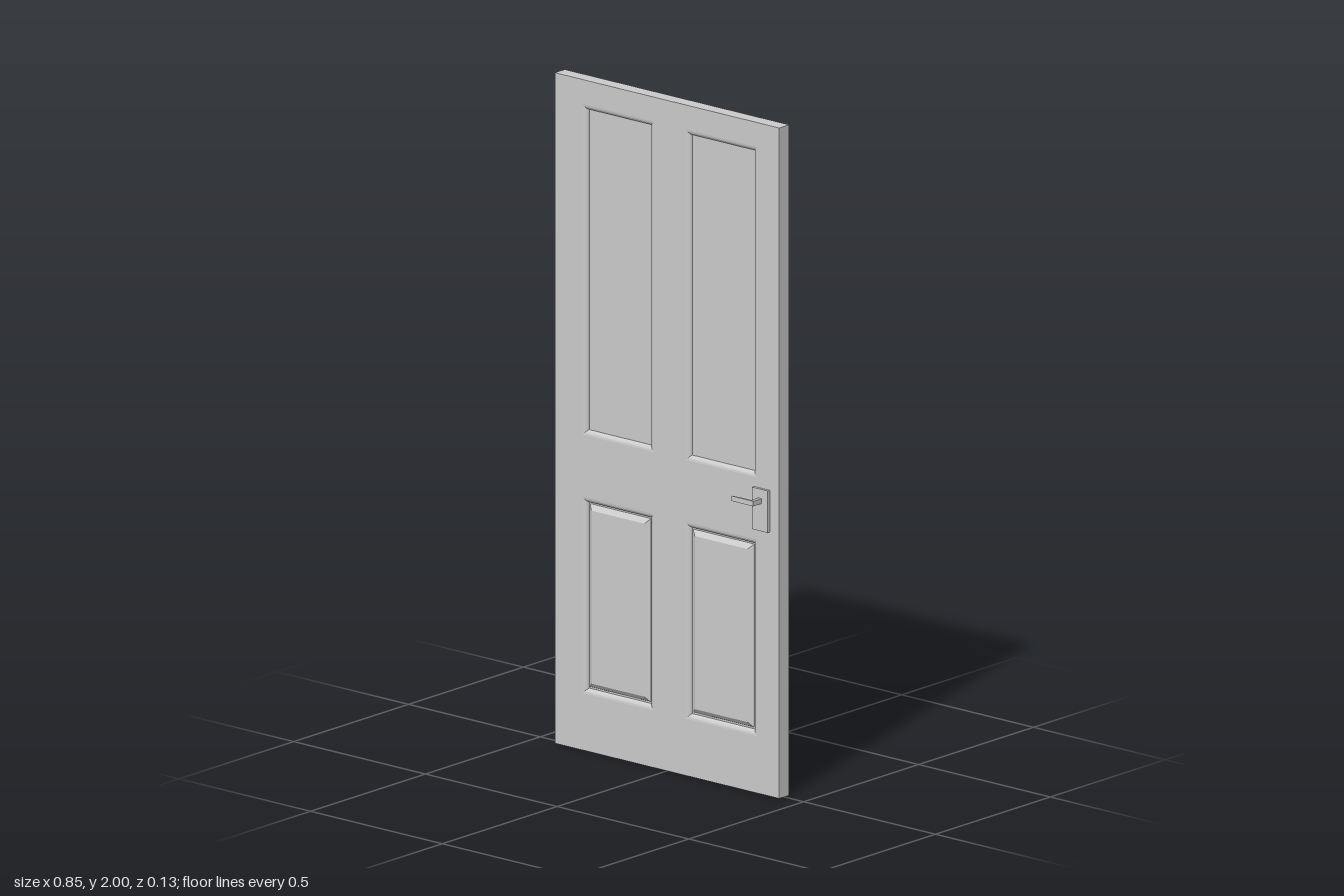
import * as THREE from 'three';

const material = new THREE.MeshStandardMaterial({ color: 0xcccccc });
const W = 0.852, H = 2, FACE = 0.0217; // door width, height, half thickness

function addMesh(parent, name, geometry) {
  const mesh = new THREE.Mesh(geometry, material);
  mesh.name = name;
  parent.add(mesh);
  return mesh;
}

// Moulding profiles: [inset from the opening's edge, depth relative to the door face]
const ovolo = [[0, 0], [0.006, -0.001], [0.011, -0.004], [0.014, -0.008], [0.015, -0.012]];
const raised = [...ovolo, [0.02, -0.012], [0.022, -0.008], [0.035, 0.001]];

// Mitred rectangular rings stepping inwards, closed by a flat field
function panelGeometry(w, h, profile) {
  const rings = profile.map(([inset, z]) => {
    const x = w / 2 - inset, y = h / 2 - inset;
    return [[-x, -y, z], [x, -y, z], [x, y, z], [-x, y, z]];
  });
  const pos = [];
  const quad = (a, b, c, d) => pos.push(...a, ...b, ...c, ...a, ...c, ...d);
  for (let r = 0; r < rings.length - 1; r++) {
    for (let i = 0; i < 4; i++) {
      const j = (i + 1) % 4;
      quad(rings[r][i], rings[r][j], rings[r + 1][j], rings[r + 1][i]);
    }
  }
  quad(...rings[rings.length - 1]);
  const geometry = new THREE.BufferGeometry();
  geometry.setAttribute('position', new THREE.Float32BufferAttribute(pos, 3));
  geometry.computeVertexNormals();
  return geometry;
}

function rectangle(path, x0, y0, x1, y1) {
  path.moveTo(x0, y0).lineTo(x1, y0).lineTo(x1, y1).lineTo(x0, y1).closePath();
  return path;
}

// Backplate with a spindle and tapered lever, facing +z
function createHandle() {
  const handle = new THREE.Group();
  addMesh(handle, 'backplate', new THREE.BoxGeometry(0.06, 0.125, 0.009))
    .position.set(0.36, 0.85, FACE + 0.0045);

  // Lever outline seen from above: x along the door, y as distance from its face
  const outline = new THREE.Shape([
    [0.354, 0.03], [0.366, 0.03], [0.366, 0.067], [0.318, 0.067],
    [0.284, 0.066], [0.284, 0.063], [0.318, 0.061], [0.354, 0.061],
  ].map(([x, y]) => new THREE.Vector2(x, y)));
  const lever = new THREE.ExtrudeGeometry(outline, { depth: 0.015, bevelEnabled: false });
  lever.rotateX(Math.PI / 2);
  addMesh(handle, 'lever', lever).position.y = 0.885;
  return handle;
}

export function createModel() {
  const door = new THREE.Group();
  door.name = 'panelDoor';

  const openings = [];
  for (const x of [-0.1855, 0.2065]) {
    openings.push({ name: 'upperPanel', x, y: 1.434, w: 0.27, h: 0.986, profile: ovolo });
    openings.push({ name: 'lowerPanel', x, y: 0.463, w: 0.27, h: 0.586, profile: raised });
  }

  // Stiles and rails: slab with four openings
  const slab = rectangle(new THREE.Shape(), -W / 2, 0, W / 2, H);
  for (const { x, y, w, h } of openings) {
    slab.holes.push(rectangle(new THREE.Path(), x - w / 2, y - h / 2, x + w / 2, y + h / 2));
  }
  const frame = new THREE.ExtrudeGeometry(slab, { depth: 2 * FACE, bevelEnabled: false });
  frame.translate(0, 0, -FACE);
  addMesh(door, 'doorFrame', frame);

  // Moulded panels on both faces
  for (const { name, x, y, w, h, profile } of openings) {
    const geometry = panelGeometry(w, h, profile);
    addMesh(door, name + 'Front', geometry).position.set(x, y, FACE);
    const back = addMesh(door, name + 'Back', geometry);
    back.position.set(x, y, -FACE);
    back.rotation.y = Math.PI;
  }

  // Handles: the back one is the front one turned about the lever's height
  const front = createHandle();
  front.name = 'frontHandle';
  const back = createHandle();
  back.name = 'backHandle';
  back.scale.z = -1;
  door.add(front, back);

  return door;
}
